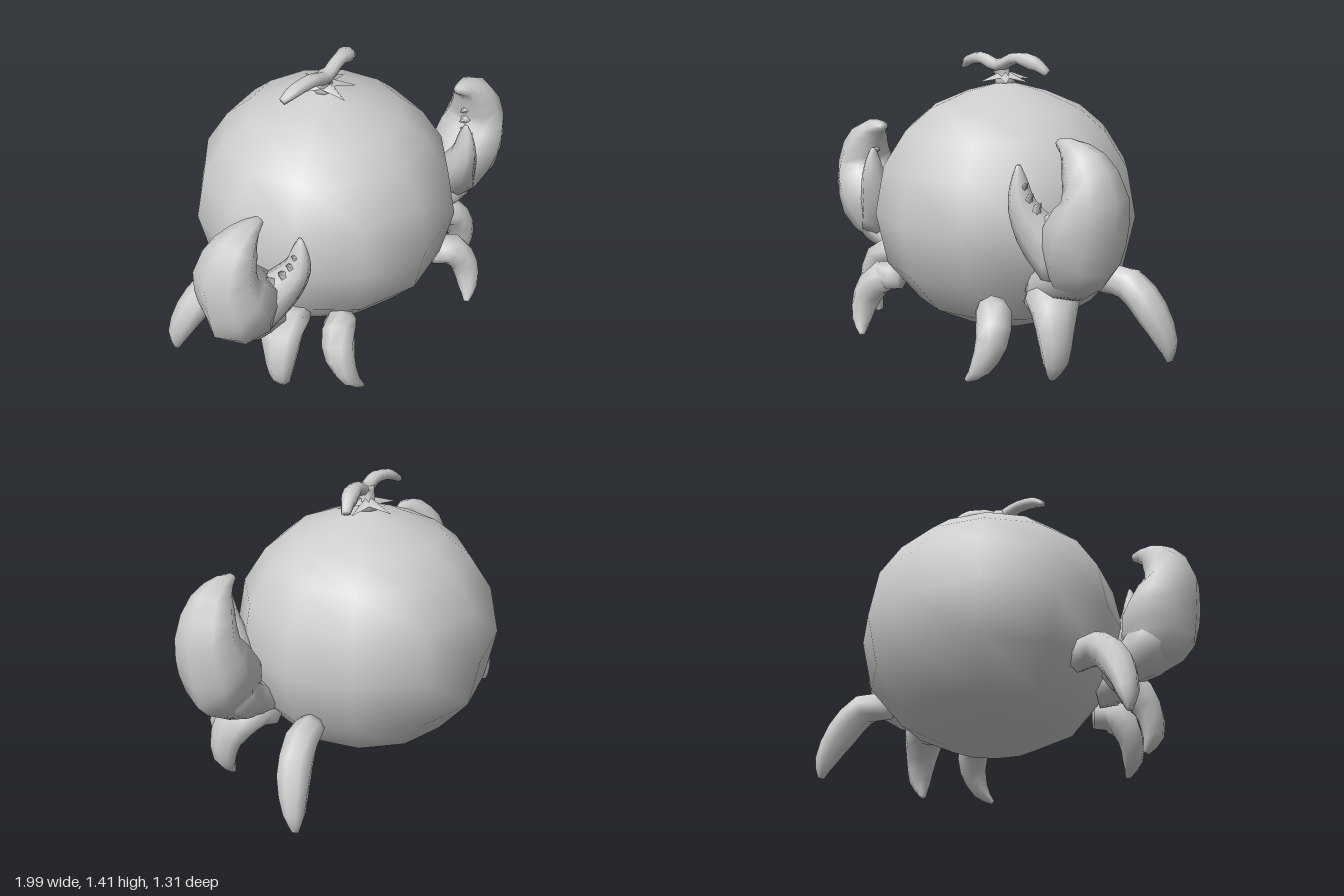
import * as THREE from 'three';

const clay = new THREE.MeshStandardMaterial({ color: 0xcccccc, side: THREE.DoubleSide });
clay.name = 'shell grey';

function addMesh(parent, name, geometry) {
  const mesh = new THREE.Mesh(geometry, clay);
  mesh.name = name;
  parent.add(mesh);
  return mesh;
}

// Smooth loft through stations [x, y, z, half width, half depth]
function loft(stations, steps = 8, sides = 8) {
  const path = new THREE.CatmullRomCurve3(stations.map(s => new THREE.Vector3(s[0], s[1], s[2])));
  const size = new THREE.CatmullRomCurve3(stations.map(s => new THREE.Vector3(s[3], s[4], 0)));
  const front = new THREE.Vector3(0, 0, 1);
  const pos = [], index = [];
  for (let i = 0; i <= steps; i++) {
    const p = path.getPoint(i / steps), r = size.getPoint(i / steps), t = path.getTangent(i / steps);
    const a = front.clone().cross(t).normalize(), b = t.clone().cross(a);
    for (let j = 0; j < sides; j++) {
      const w = j / sides * Math.PI * 2;
      const v = p.clone().addScaledVector(a, Math.cos(w) * r.x).addScaledVector(b, Math.sin(w) * r.y);
      pos.push(v.x, v.y, v.z);
    }
  }
  const start = pos.length / 3, last = steps * sides;
  pos.push(...path.getPoint(0).toArray(), ...path.getPoint(1).toArray());
  for (let j = 0; j < sides; j++) {
    const k = (j + 1) % sides;
    for (let i = 0; i < steps; i++) {
      const lo = i * sides, hi = lo + sides;
      index.push(lo + j, lo + k, hi + k, lo + j, hi + k, hi + j);
    }
    index.push(start, k, j, start + 1, last + j, last + k);
  }
  const g = new THREE.BufferGeometry();
  g.setAttribute('position', new THREE.Float32BufferAttribute(pos, 3));
  g.setIndex(index);
  g.computeVertexNormals();
  return g;
}

// Three walking legs per side, root to tip
const legs = {
  frontLeg: [[0.37, 0.28, 0.42, 0.06, 0.07], [0.46, 0.28, 0.48, 0.085, 0.085],
    [0.51, 0.18, 0.54, 0.065, 0.08], [0.49, 0.07, 0.59, 0.045, 0.055], [0.44, 0.01, 0.625, 0.012, 0.015]],
  middleLeg: [[0.5, 0.32, 0.22, 0.08, 0.09], [0.63, 0.35, 0.28, 0.09, 0.13],
    [0.71, 0.23, 0.34, 0.07, 0.095], [0.725, 0.1, 0.35, 0.05, 0.065], [0.69, 0.015, 0.335, 0.015, 0.02]],
  backLeg: [[0.58, 0.37, -0.09, 0.07, 0.06], [0.72, 0.37, -0.13, 0.08, 0.085],
    [0.83, 0.25, -0.17, 0.075, 0.085], [0.89, 0.1, -0.215, 0.05, 0.055], [0.9, 0.015, -0.225, 0.015, 0.02]],
};

// Arm and pincer
const clawParts = {
  arm: [[0.52, 0.38, 0.24, 0.08, 0.1], [0.64, 0.45, 0.25, 0.1, 0.12],
    [0.73, 0.5, 0.25, 0.13, 0.14], [0.77, 0.56, 0.26, 0.14, 0.14]],
  upperPincer: [[0.72, 0.43, 0.24, 0.09, 0.1], [0.77, 0.58, 0.27, 0.2, 0.17], [0.83, 0.72, 0.27, 0.165, 0.195],
    [0.87, 0.85, 0.27, 0.125, 0.165], [0.82, 0.98, 0.28, 0.105, 0.12], [0.75, 1.05, 0.285, 0.055, 0.07],
    [0.67, 1.075, 0.285, 0.02, 0.025]],
  lowerPincer: [[0.7, 0.54, 0.28, 0.12, 0.13], [0.62, 0.67, 0.36, 0.105, 0.1],
    [0.58, 0.8, 0.42, 0.06, 0.07], [0.57, 0.91, 0.43, 0.03, 0.045], [0.565, 0.98, 0.43, 0.008, 0.012]],
};
// Teeth as [x, y, z, tilt]
const teeth = [[0.605, 0.89, 0.43, -0.9], [0.63, 0.845, 0.42, -0.8], [0.66, 0.805, 0.4, -0.7],
  [0.7, 0.77, 0.36, -0.5], [0.73, 0.93, 0.29, 1.5], [0.73, 0.87, 0.29, 1.5], [0.74, 0.82, 0.29, 1.3]];

function addClaw(parent, s) {
  const claw = new THREE.Group();
  claw.name = s > 0 ? 'leftClaw' : 'rightClaw';
  const ky = s > 0 ? 1 : 0.93, dz = s > 0 ? 0 : -0.03;
  for (const [name, list] of Object.entries(clawParts)) {
    addMesh(claw, name, loft(list.map(([x, y, z, a, b]) => [s * x, y * ky, z + dz, a, b]), 10));
  }
  for (const [x, y, z, tilt] of teeth) {
    const tooth = addMesh(claw, 'tooth', new THREE.ConeGeometry(0.028, 0.06, 5));
    tooth.position.set(s * x, y * ky, z + dz);
    tooth.rotation.z = s * tilt;
  }
  parent.add(claw);
}

// Star of pointed sepals under the stem
function sepals() {
  const angles = [5, 80, 155, 262, 320].map(THREE.MathUtils.degToRad);
  const pos = [0, 1.325, 0], index = [];
  angles.forEach((a, i) => {
    const next = angles[(i + 1) % 5] + (i === 4 ? Math.PI * 2 : 0), m = (a + next) / 2;
    pos.push(Math.cos(a) * 0.155, 1.27, -Math.sin(a) * 0.155);
    pos.push(Math.cos(m) * 0.05, 1.285, -Math.sin(m) * 0.05);
  });
  for (let i = 0; i < 10; i++) index.push(0, 1 + i, 1 + (i + 1) % 10);
  const g = new THREE.BufferGeometry();
  g.setAttribute('position', new THREE.Float32BufferAttribute(pos, 3));
  g.setIndex(index);
  g.computeVertexNormals();
  return g;
}

export function createModel() {
  const crab = new THREE.Group();
  crab.name = 'roundCrab';

  // Round twelve-sided body
  const profile = [[0, 0.05], [0.24, 0.09], [0.44, 0.19], [0.6, 0.38], [0.655, 0.635], [0.61, 0.87],
    [0.5, 1.04], [0.375, 1.145], [0.2, 1.22], [0, 1.272]].map(p => new THREE.Vector2(...p));
  addMesh(crab, 'body', new THREE.LatheGeometry(profile, 12)).position.x = 0.01;

  for (const s of [1, -1]) {
    for (const [name, list] of Object.entries(legs)) {
      const side = list.map(([x, ...rest]) => [0.03 + s * (x - 0.03), ...rest]);
      addMesh(crab, (s > 0 ? 'left ' : 'right ') + name, loft(side));
    }
    addClaw(crab, s);
  }

  // Stem with two drooping horns
  addMesh(crab, 'sepals', sepals());
  addMesh(crab, 'stem', loft([[0, 1.25, 0, 0.055, 0.05], [-0.01, 1.31, 0.01, 0.04, 0.035],
    [-0.02, 1.36, 0.025, 0.05, 0.035]], 4));
  addMesh(crab, 'horns', loft([[-0.29, 1.325, 0.015, 0.015, 0.02], [-0.23, 1.36, 0.03, 0.027, 0.035],
    [-0.12, 1.375, 0.04, 0.03, 0.036], [-0.02, 1.345, 0.03, 0.032, 0.036], [0.09, 1.385, 0.01, 0.03, 0.036],
    [0.19, 1.36, -0.025, 0.03, 0.036], [0.245, 1.32, -0.05, 0.017, 0.025]], 16));
  return crab;
}
